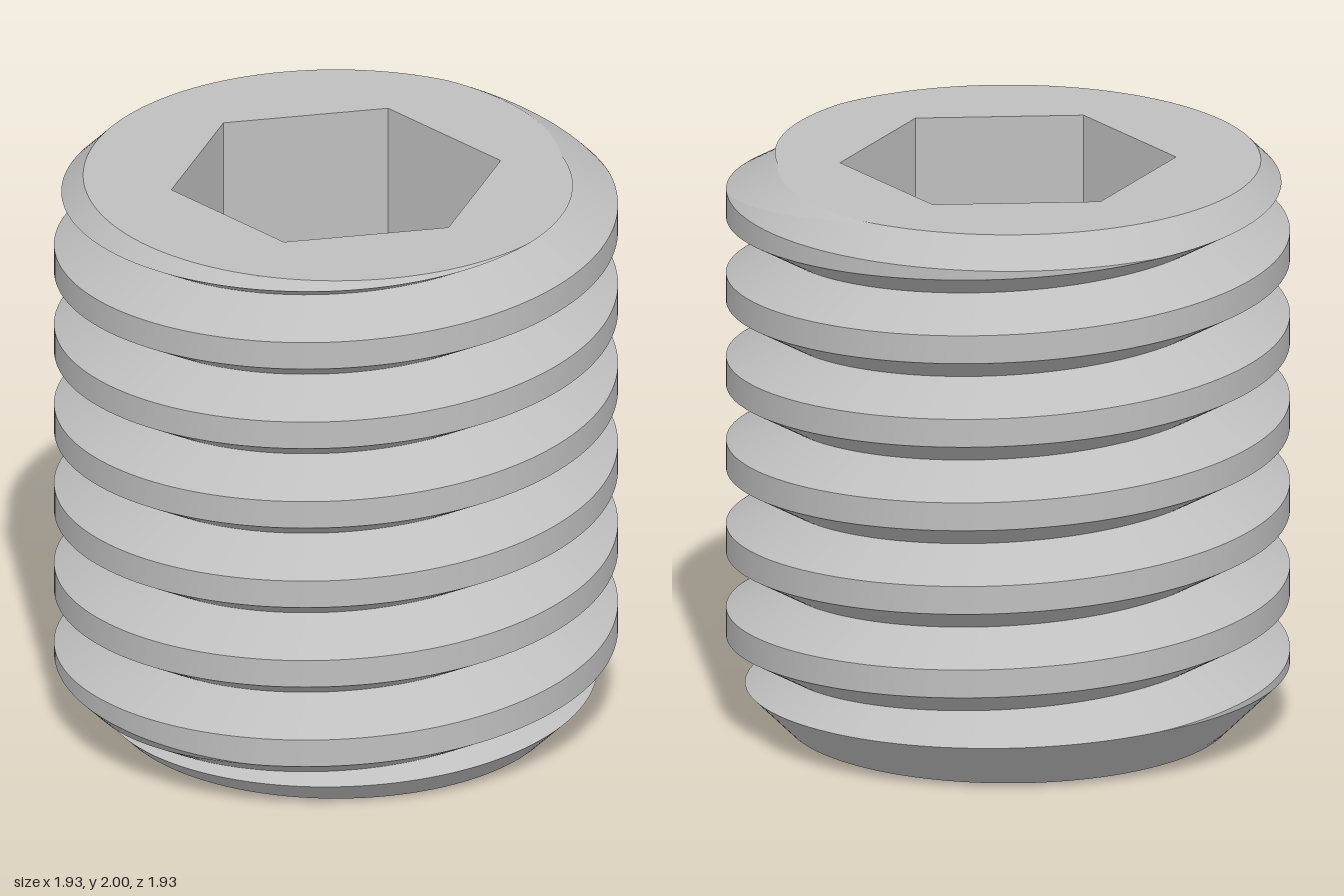
import * as THREE from 'three';

const HEIGHT = 2, PITCH = 0.3, ROOT = 0.79, CREST = 0.967;
const BOTTOM_R = 0.767, TOP_R = 0.867;   // end radii of the 45 degree chamfers
const START = 0.2;                       // height of a thread root at +x
const COLS = 160;                        // columns per turn
const HEX_R = 0.577, HEX_DEPTH = 1;

// One pitch of the thread, as [offset above root, radius]
const PROFILE = [[0, ROOT], [0.1, CREST], [0.2, CREST], [PITCH, ROOT]];

const chamferBottom = (y) => BOTTOM_R + y;
const chamferTop = (y) => TOP_R + HEIGHT - y;

// Part of the range 0..1 in which every linear constraint [g0, g1] is positive
function clip(constraints) {
  let lo = 0, hi = 1;
  for (const [g0, g1] of constraints) {
    if (g0 >= 0 && g1 >= 0) continue;
    if (g0 < 0 && g1 < 0) {
      if (g0 > g1) hi = Math.min(hi, 0);
      else lo = Math.max(lo, 1);
    } else {
      const t = g0 / (g0 - g1);
      if (g0 < 0) lo = Math.max(lo, t);
      else hi = Math.min(hi, t);
    }
  }
  if (lo > hi) lo = hi = THREE.MathUtils.clamp((lo + hi) / 2, 0, 1);
  return [lo, hi];
}

// Helical strip of one profile segment; kind chooses the thread or a chamfer cutting it
function helicalStrip([o0, r0], [o1, r1], kind) {
  const pos = [], index = [], open = [];
  const first = -2 * COLS, last = 7 * COLS;
  for (let i = first; i <= last; i++) {
    const turn = i / COLS, a = turn * Math.PI * 2;
    const y0 = START + turn * PITCH + o0, y1 = START + turn * PITCH + o1;
    const gapB = [chamferBottom(y0) - r0, chamferBottom(y1) - r1];
    const gapT = [chamferTop(y0) - r0, chamferTop(y1) - r1];
    const limits = [[y0, y1], [HEIGHT - y0, HEIGHT - y1]];
    if (kind === 'thread') limits.push(gapB, gapT);
    if (kind === 'bottom') limits.push(gapB.map((g) => -g));
    if (kind === 'top') limits.push(gapT.map((g) => -g));
    const [lo, hi] = clip(limits);
    for (const t of [lo, hi]) {
      const y = y0 + (y1 - y0) * t;
      const r = kind === 'thread' ? r0 + (r1 - r0) * t
        : kind === 'bottom' ? chamferBottom(y) : chamferTop(y);
      pos.push(r * Math.cos(a), THREE.MathUtils.clamp(y, 0, HEIGHT), -r * Math.sin(a));
    }
    open.push(hi - lo > 1e-6);
    const n = open.length - 1;
    if (n > 0 && (open[n] || open[n - 1])) {
      const p = 2 * (n - 1);
      index.push(p, p + 2, p + 3, p, p + 3, p + 1);
    }
  }
  const geo = new THREE.BufferGeometry();
  geo.setAttribute('position', new THREE.Float32BufferAttribute(pos, 3));
  geo.setIndex(index);
  geo.computeVertexNormals();
  return geo;
}

// Radius of the threaded body where the flat top cuts it
function topRadius(angle) {
  const turns = (HEIGHT - START) / PITCH - angle / (Math.PI * 2);
  const o = (turns - Math.floor(turns)) * PITCH;
  const k = Math.min(1, o / 0.1, (PITCH - o) / 0.1);
  return Math.min(TOP_R, ROOT + (CREST - ROOT) * k);
}

export function createModel() {
  const model = new THREE.Group();
  model.name = 'setScrew';
  const steel = new THREE.MeshStandardMaterial({ color: 0xbfbfbf });
  steel.name = 'steel grey';

  const add = (name, geo, parent = model) => {
    const mesh = new THREE.Mesh(geo, steel);
    mesh.name = name;
    parent.add(mesh);
    return mesh;
  };

  // Thread flanks and crest, with the chamfers that trim both ends
  const names = ['lowerFlank', 'crest', 'upperFlank'];
  for (const kind of ['thread', 'bottom', 'top']) {
    const group = new THREE.Group();
    group.name = kind === 'thread' ? 'thread' : kind + 'Chamfer';
    model.add(group);
    names.forEach((n, j) => {
      const geo = helicalStrip(PROFILE[j], PROFILE[j + 1], kind);
      if (geo.index.count) add(group.name + '_' + n, geo, group);
    });
  }

  // Flat bottom
  add('bottomFace', new THREE.CircleGeometry(BOTTOM_R, COLS).rotateX(Math.PI / 2));

  // Flat top with the hexagonal opening
  const ring = (n, radius) => Array.from({ length: n }, (_, i) => {
    const a = (i / n) * Math.PI * 2, r = radius(a);
    return new THREE.Vector2(r * Math.cos(a), r * Math.sin(a));
  });
  const top = new THREE.Shape(ring(COLS, topRadius));
  top.holes.push(new THREE.Path(ring(6, () => HEX_R)));
  add('topFace', new THREE.ShapeGeometry(top).rotateX(-Math.PI / 2)).position.y = HEIGHT;

  // Hex socket: walls turned inward, and a floor
  const walls = new THREE.CylinderGeometry(HEX_R, HEX_R, HEX_DEPTH, 6, 1, true)
    .rotateY(Math.PI / 6).scale(-1, 1, 1).toNonIndexed();
  walls.computeVertexNormals();
  add('socketWalls', walls).position.y = HEIGHT - HEX_DEPTH / 2;
  add('socketFloor', new THREE.CircleGeometry(HEX_R, 6).rotateX(-Math.PI / 2))
    .position.y = HEIGHT - HEX_DEPTH;

  return model;
}
